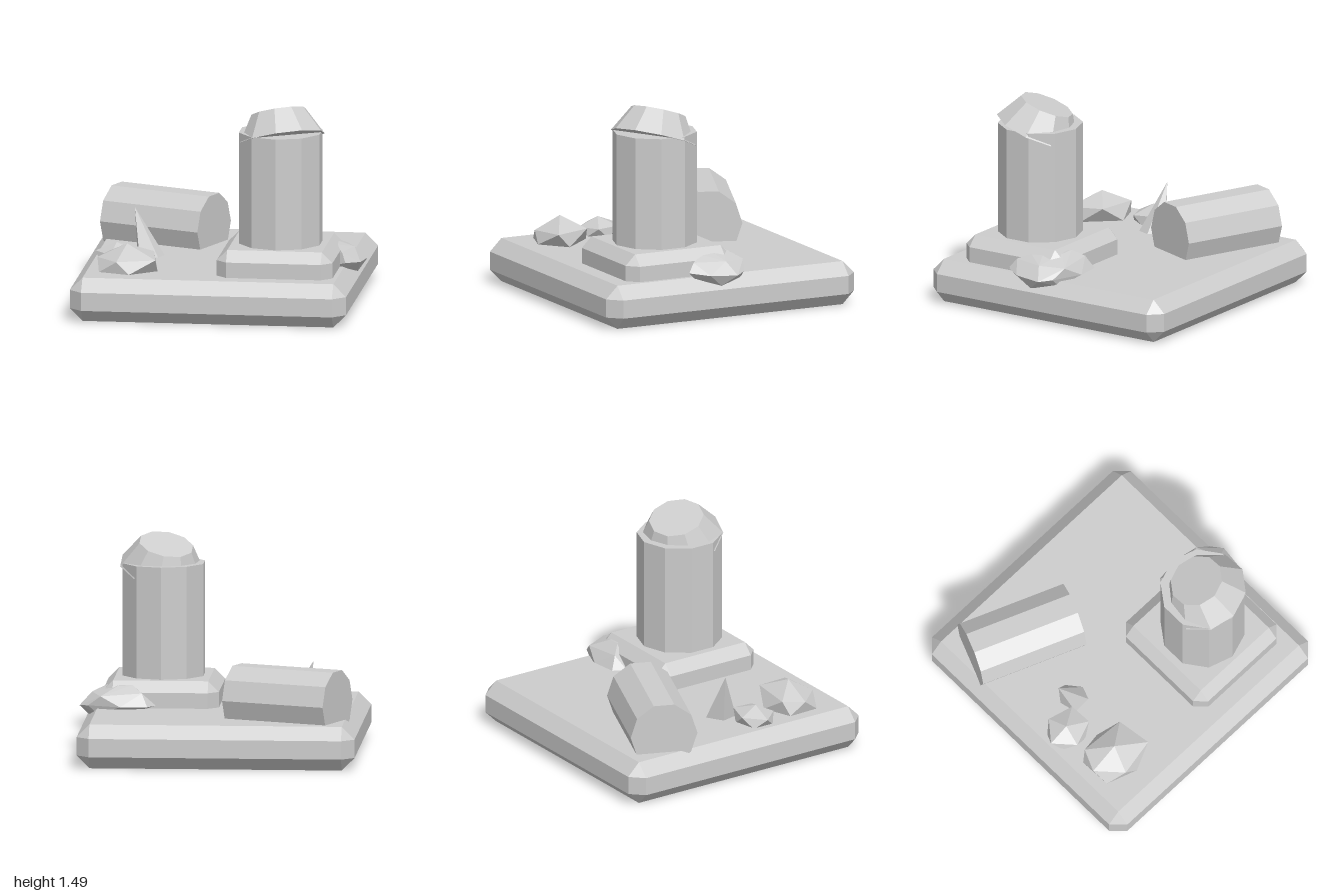
import * as THREE from 'three';
import { ConvexGeometry } from 'three/addons/geometries/ConvexGeometry.js';

export function createModel() {
  const model = new THREE.Group();
  const stone = new THREE.MeshStandardMaterial({ color: 0xcccccc });
  stone.name = 'stone';

  // Adds a part with faceted normals
  function add(name, geometry) {
    const flat = geometry.index ? geometry.toNonIndexed() : geometry;
    flat.computeVertexNormals();
    const mesh = new THREE.Mesh(flat, stone);
    mesh.name = name;
    model.add(mesh);
    return mesh;
  }
  const hull = (name, points) =>
    add(name, new ConvexGeometry(points.map((p) => new THREE.Vector3(...p))));

  // Box with every edge and corner cut by c
  function chamferedBox(name, center, half, c) {
    const points = [];
    for (const sx of [-1, 1]) for (const sy of [-1, 1]) for (const sz of [-1, 1]) {
      for (let axis = 0; axis < 3; axis++) {
        points.push([sx, sy, sz].map((s, i) => center[i] + s * (half[i] - (i === axis ? 0 : c))));
      }
    }
    hull(name, points);
  }

  // Slab and plinth
  chamferedBox('baseSlab', [-0.022, 0.155, -0.005], [0.978, 0.155, 0.98], 0.09);
  chamferedBox('plinth', [0.425, 0.36, 0.353], [0.41, 0.135, 0.413], 0.075);

  // Standing ten-sided column
  add('standingColumn', new THREE.CylinderGeometry(0.3, 0.3, 0.82, 10)
    .translate(0.427, 0.88, 0.365));

  // Tilted cap resting on the column
  const cap = add('columnCap', new THREE.CylinderGeometry(0.195, 0.305, 0.19, 10)
    .translate(0, 0.095, 0));
  cap.position.set(0.44, 1.243, 0.383);
  cap.quaternion.setFromUnitVectors(
    new THREE.Vector3(0, 1, 0), new THREE.Vector3(-0.19, 1, -0.33).normalize());

  // Fallen column piece, half sunk into the slab
  add('fallenColumn', new THREE.CylinderGeometry(0.24, 0.24, 0.785, 10)
    .rotateZ(-Math.PI / 2).rotateY(-0.387).translate(-0.5, 0.44, -0.5));

  // Leaning stone shard
  hull('shard', [
    [-0.65, 0.645, 0.02],
    [-0.51, 0.3, -0.055], [-0.43, 0.3, 0.045], [-0.465, 0.3, 0.14],
    [-0.6, 0.3, 0.145], [-0.63, 0.3, 0.02],
  ]);

  // Rubble rocks
  hull('frontRock', [
    [-0.635, 0.497, 0.565],
    [-0.78, 0.41, 0.415], [-0.46, 0.42, 0.44], [-0.42, 0.405, 0.685],
    [-0.69, 0.395, 0.735], [-0.845, 0.395, 0.567],
    [-0.615, 0.31, 0.37], [-0.415, 0.31, 0.6], [-0.6, 0.31, 0.755],
    [-0.82, 0.31, 0.68], [-0.83, 0.31, 0.45], [-0.64, 0.24, 0.56],
  ]);
  hull('smallRock', [
    [-0.755, 0.43, 0.205],
    [-0.79, 0.375, 0.065], [-0.61, 0.38, 0.115], [-0.6, 0.37, 0.275],
    [-0.78, 0.36, 0.34], [-0.905, 0.365, 0.205],
    [-0.69, 0.3, 0.08], [-0.6, 0.3, 0.2], [-0.69, 0.3, 0.33],
    [-0.86, 0.3, 0.28], [-0.86, 0.3, 0.12],
  ]);
  hull('sideRock', [
    [0.62, 0.47, -0.03], [0.78, 0.462, 0.1], [0.72, 0.465, -0.025], [0.8, 0.45, 0.19],
    [0.91, 0.41, 0.05], [0.85, 0.41, 0.275], [0.84, 0.4, -0.12], [0.55, 0.42, -0.1],
    [0.995, 0.32, 0], [0.97, 0.33, 0.2], [0.88, 0.345, 0.325], [0.93, 0.33, -0.08],
    [0.7, 0.33, -0.17], [0.51, 0.33, -0.15], [0.455, 0.33, -0.06],
    [0.94, 0.245, 0.1], [0.86, 0.27, -0.09], [0.87, 0.3, 0.28], [0.6, 0.25, 0.1],
  ]);

  return model;
}
